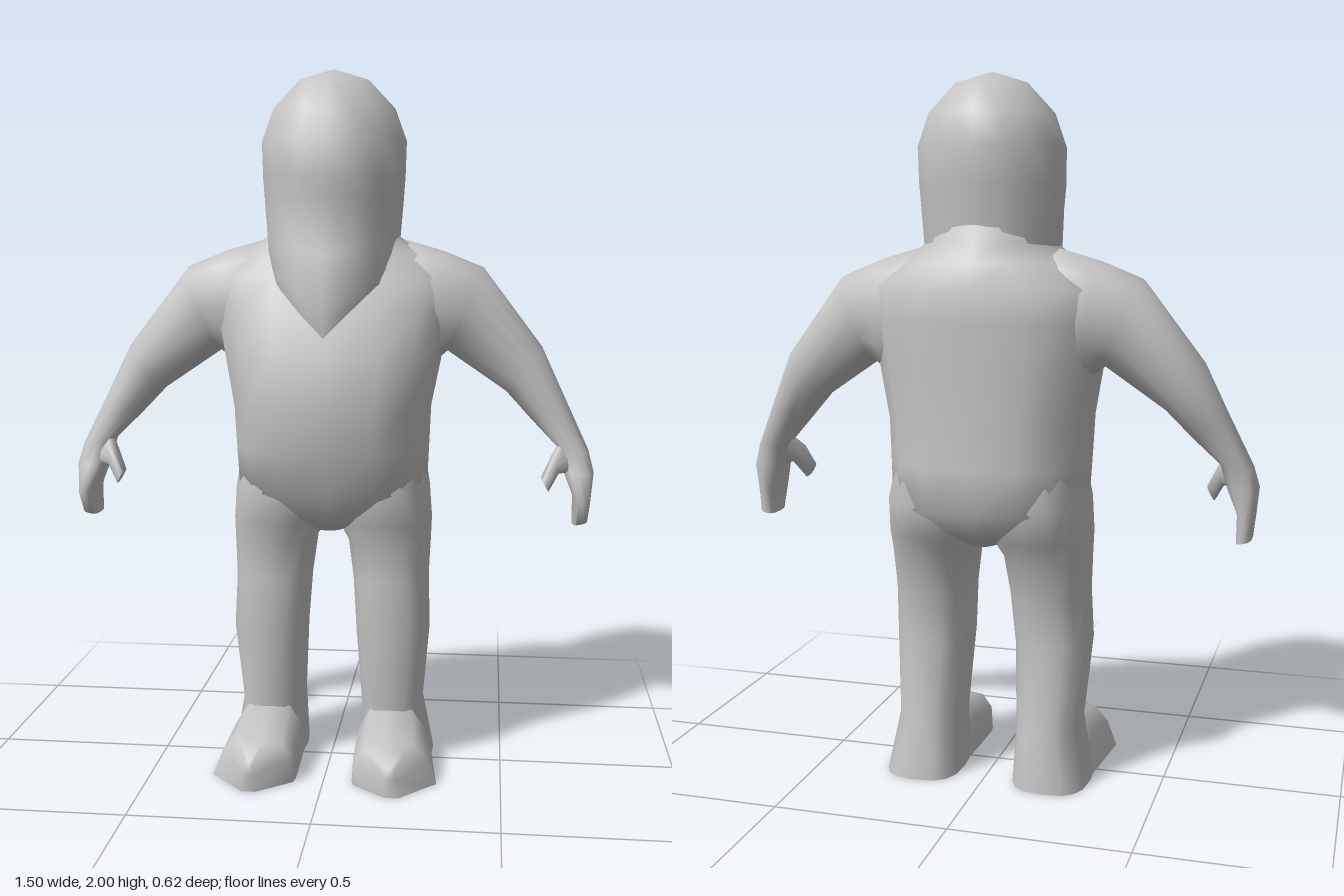
import * as THREE from 'three';
import { toCreasedNormals } from 'three/addons/utils/BufferGeometryUtils.js';

const V = (x, y, z) => new THREE.Vector3(x, y, z);
const pow = (v, p) => Math.sign(v) * Math.abs(v) ** p;
const SEG = 16;

// Points around an oval: fn receives cosine and sine of each step, squared off by p
function around(p, fn) {
  return Array.from({ length: SEG }, (_, i) => {
    const a = (i / SEG) * Math.PI * 2;
    return fn(pow(Math.cos(a), p), pow(Math.sin(a), p));
  });
}

// Level ring with separate front and back depth about the line z = zc
function level(y, x, w, zF, zB, zc, p) {
  return around(p, (c, s) => V(x + c * w, y, zc + s * (s > 0 ? zF - zc : zc - zB)));
}

// Ring across a limb, between two outline points in the xy plane
function across([ax, ay, bx, by, zF, zB, p = 0.85]) {
  return around(p, (c, s) => V(
    (ax + bx) / 2 + c * (ax - bx) / 2,
    (ay + by) / 2 + c * (ay - by) / 2,
    (zF + zB) / 2 + s * (zF - zB) / 2));
}

// Skin a closed solid over the rings, with both ends capped and faces outward
function loft(rings, crease) {
  const n = rings[0].length, pts = rings.flat(), tris = [];
  for (let r = 0; r < rings.length - 1; r++) {
    for (let i = 0; i < n; i++) {
      const a = r * n + i, b = r * n + (i + 1) % n;
      tris.push([a, b, a + n], [b, b + n, a + n]);
    }
  }
  [0, rings.length - 1].forEach((r, end) => {
    const mid = rings[r].reduce((m, q) => m.add(q), V(0, 0, 0)).divideScalar(n);
    const m = pts.push(mid) - 1;
    for (let i = 0; i < n; i++) {
      const a = r * n + i, b = r * n + (i + 1) % n;
      tris.push(end ? [a, b, m] : [b, a, m]);
    }
  });
  let volume = 0;
  for (const [a, b, c] of tris) volume += pts[a].dot(V(0, 0, 0).crossVectors(pts[b], pts[c]));
  const g = new THREE.BufferGeometry().setFromPoints(pts);
  g.setIndex(tris.flatMap(([a, b, c]) => (volume > 0 ? [a, b, c] : [a, c, b])));
  return toCreasedNormals(g, crease);
}

export function createModel() {
  const model = new THREE.Group();
  model.name = 'beardedFigure';
  const grey = new THREE.MeshStandardMaterial({ color: 0xc4c4c4 });
  grey.name = 'plain grey';

  const add = (name, rings, crease = 1.25) => {
    const mesh = new THREE.Mesh(loft(rings, crease), grey);
    mesh.name = name;
    model.add(mesh);
  };
  // One part on each side
  const pair = (name, rings) => {
    add('left' + name, rings);
    add('right' + name, rings.map(r => r.map(q => V(-q.x, q.y, q.z))));
  };

  // Torso, narrowing to the crotch: height, half width, front z, back z, roundness
  add('torso', [
    [0.70, 0.06, 0.09, -0.20, 0.9],
    [0.74, 0.15, 0.125, -0.255, 0.8],
    [0.81, 0.275, 0.165, -0.31, 0.74],
    [0.93, 0.28, 0.195, -0.305, 0.74],
    [1.05, 0.285, 0.215, -0.30, 0.74],
    [1.20, 0.315, 0.19, -0.30, 0.76],
    [1.33, 0.345, 0.14, -0.30, 0.82],
    [1.42, 0.35, 0.10, -0.30, 0.86],
    [1.49, 0.25, 0.07, -0.275, 0.9],
    [1.54, 0.18, 0.05, -0.25, 0.95],
    [1.62, 0.16, 0.03, -0.23, 1],
  ].map(([y, w, f, b, p]) => level(y, 0, w, f, b, -0.05, p)), 2);

  // Head and beard: side height, front height, back height, half width, front z, back z
  add('headAndBeard', [
    [2.0, 2.0, 2.0, 0.004, -0.056, -0.064],
    [1.97, 1.97, 1.97, 0.10, 0.05, -0.17],
    [1.89, 1.88, 1.89, 0.175, 0.125, -0.24],
    [1.80, 1.79, 1.80, 0.208, 0.14, -0.255],
    [1.70, 1.70, 1.70, 0.205, 0.172, -0.25],
    [1.63, 1.65, 1.63, 0.20, 0.155, -0.24],
    [1.53, 1.48, 1.55, 0.192, 0.19, -0.235],
    [1.46, 1.32, 1.50, 0.184, 0.225, -0.23],
    [1.44, 1.26, 1.48, 0.18, 0.217, -0.22],
  ].map(([yS, yF, yB, w, f, b]) => around(1, (c, s) => {
    const end = s > 0 ? yF : yB;
    return V(c * w, end + (yS - end) * Math.abs(c), -0.06 + s * (s > 0 ? f + 0.06 : -0.06 - b));
  })));

  // Arm with closed hand: outer x, y, inner x, y, front z, back z, roundness
  pair('Arm', [
    [0.08, 1.48, 0.08, 1.15, 0.05, -0.20],
    [0.20, 1.525, 0.22, 1.14, 0.06, -0.235],
    [0.32, 1.49, 0.29, 1.17, 0.06, -0.215],
    [0.43, 1.445, 0.33, 1.205, 0.035, -0.19],
    [0.60, 1.22, 0.50, 1.09, 0.03, -0.17],
    [0.665, 1.08, 0.57, 1.015, 0.03, -0.13],
    [0.735, 0.93, 0.645, 0.94, 0.035, -0.078, 0.7],
    [0.75, 0.87, 0.665, 0.87, 0.055, -0.075, 0.65],
    [0.74, 0.79, 0.692, 0.80, 0.085, -0.07, 0.65],
    [0.735, 0.73, 0.692, 0.72, 0.045, -0.065, 0.65],
  ].map(across));

  // Thumb
  pair('Thumb', [
    [0.70, 0.87, 0.65, 0.95, 0.04, -0.05, 0.7],
    [0.65, 0.87, 0.63, 0.92, 0.065, -0.01, 0.7],
    [0.622, 0.82, 0.60, 0.86, 0.075, 0.025, 0.7],
  ].map(across));

  // Leg rising into the hip: height, inner x, outer x, front z, back z, roundness
  pair('Leg', [
    [1.00, 0.03, 0.25, 0.10, -0.24, 0.85],
    [0.82, 0.0, 0.282, 0.14, -0.285, 0.75],
    [0.72, 0.012, 0.29, 0.115, -0.24, 0.78],
    [0.66, 0.045, 0.288, 0.095, -0.205, 0.8],
    [0.55, 0.06, 0.283, 0.092, -0.18, 0.8],
    [0.40, 0.07, 0.288, 0.10, -0.155, 0.8],
    [0.17, 0.085, 0.268, 0.07, -0.20, 0.8],
    [0.0, 0.08, 0.30, 0.06, -0.22, 0.7],
  ].map(([y, a, b, f, k, p]) => level(y, (a + b) / 2, (b - a) / 2, f, k, (f + k) / 2, p)));

  // Foot: z, inner x, outer x, height of the top
  pair('Foot', [
    [-0.12, 0.09, 0.29, 0.13],
    [0.05, 0.083, 0.305, 0.17],
    [0.20, 0.08, 0.32, 0.125],
    [0.23, 0.085, 0.29, 0.115],
    [0.31, 0.18, 0.22, 0.085],
  ].map(([z, a, b, h]) => {
    const w = b - a;
    return [V(a, 0, z), V(a + 0.02 * w, 0.6 * h, z), V(a + 0.16 * w, 0.94 * h, z), V(a + 0.42 * w, h, z),
      V(b - 0.28 * w, 0.94 * h, z), V(b - 0.12 * w, 0.6 * h, z), V(b, 0, z)];
  }));

  return model;
}
